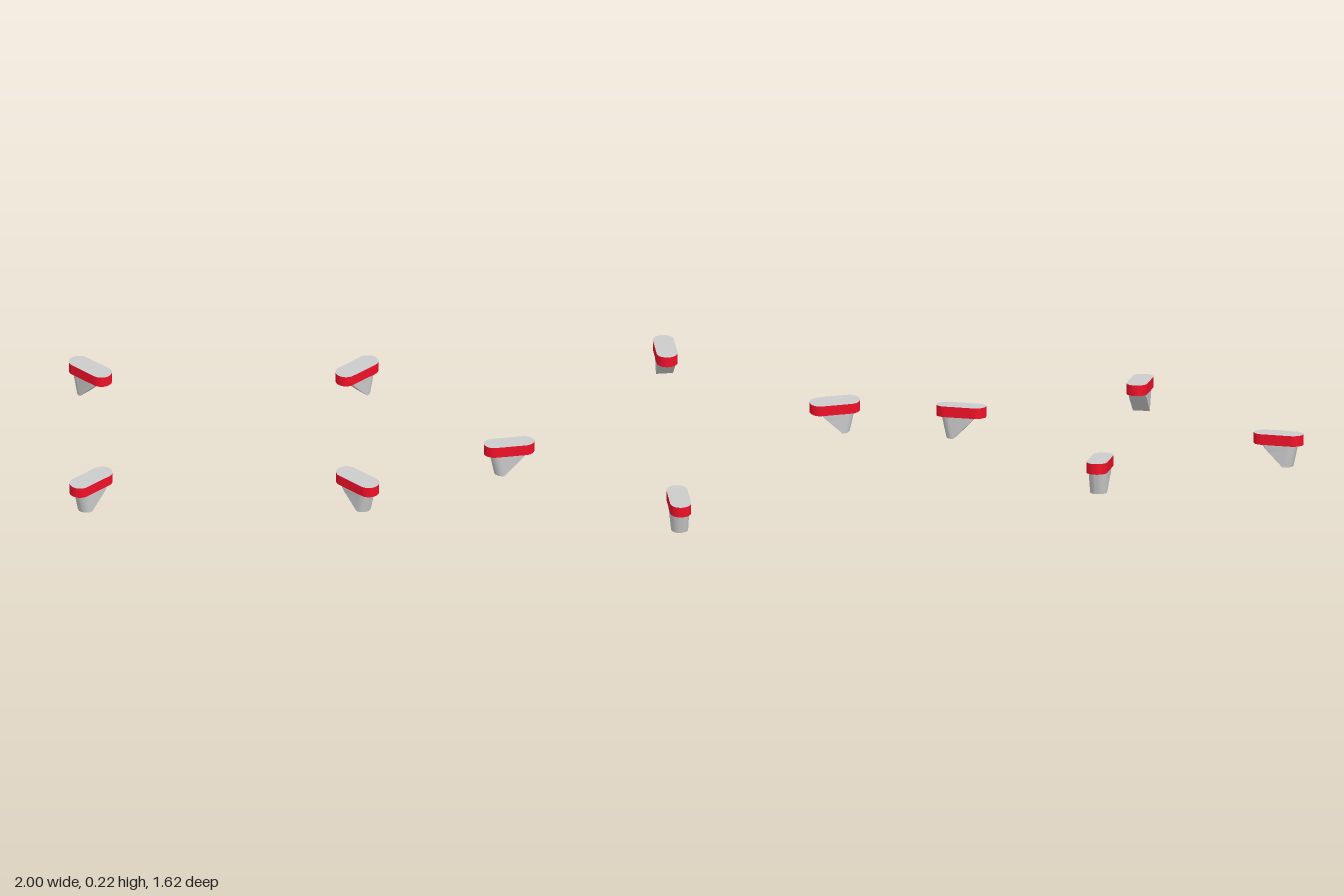
import * as THREE from 'three';
import { toCreasedNormals } from 'three/addons/utils/BufferGeometryUtils.js';

const PAD_Y = 0.145, PAD_H = 0.07, PAD_R = 0.068, PAD_HALF = 0.097;
const lerp = THREE.MathUtils.lerp;

// Stadium pad: red rim and underside, grey top
function padGeometry() {
  const s = new THREE.Shape();
  s.absarc(PAD_HALF, 0, PAD_R, -Math.PI / 2, Math.PI / 2);
  s.absarc(-PAD_HALF, 0, PAD_R, Math.PI / 2, Math.PI * 1.5);
  s.closePath();
  const g = new THREE.ExtrudeGeometry(s, { depth: PAD_H, bevelEnabled: false, curveSegments: 24 });
  const [lids, rim] = g.groups;
  g.clearGroups();
  g.addGroup(0, lids.count / 2, 1);
  g.addGroup(lids.count / 2, lids.count / 2, 0);
  g.addGroup(rim.start, rim.count, 1);
  g.rotateX(-Math.PI / 2);
  g.translate(0, PAD_Y, 0);
  return toCreasedNormals(g, 0.6);
}

// Tapered stadium cut off by a sloping plane on its inner side
function footGeometry() {
  const arc = 20, levels = 8, n = 2 * (arc + 1);
  const pos = [], idx = [];
  for (let l = 0; l <= levels; l++) {
    const t = l / levels;
    const r = lerp(0.055, 0.06, t);
    const outer = lerp(0.042, 0.069, t);
    const cut = lerp(0.04, -0.102, t);
    for (let i = 0; i < n; i++) {
      const inner = i > arc;
      const a = -Math.PI / 2 + Math.PI * (inner ? i - 1 : i) / arc;
      const u = (inner ? -0.069 : outer) + r * Math.cos(a);
      pos.push(Math.max(u, cut), t * PAD_Y, -r * Math.sin(a));
    }
  }
  for (let l = 0; l < levels; l++) {
    for (let i = 0; i < n; i++) {
      const j = (i + 1) % n, a = l * n + i, b = l * n + j;
      idx.push(a, b, b + n, a, b + n, a + n);
    }
  }
  // Sole
  for (let i = 1; i < n - 1; i++) idx.push(0, i + 1, i);
  const g = new THREE.BufferGeometry();
  g.setAttribute('position', new THREE.Float32BufferAttribute(pos, 3));
  g.setIndex(idx);
  return toCreasedNormals(g, 0.6);
}

export function createModel() {
  const model = new THREE.Group();
  model.name = 'feet';
  const grey = new THREE.MeshStandardMaterial({ color: 0xcccccc });
  const red = new THREE.MeshStandardMaterial({ color: 0xf01028 });
  const padGeo = padGeometry(), footGeo = footGeometry();

  // One foot per corner, each pointing outwards
  for (const [sz, zName] of [[1, 'front'], [-1, 'back']]) {
    for (const [sx, xName] of [[1, 'Left'], [-1, 'Right']]) {
      const foot = new THREE.Group();
      foot.name = zName + xName + 'Foot';
      const pad = new THREE.Mesh(padGeo, [grey, red]);
      pad.name = 'pad';
      const peg = new THREE.Mesh(footGeo, grey);
      peg.name = 'taperedPeg';
      foot.add(pad, peg);
      foot.position.set(sx * 0.861, 0, sz * 0.676);
      foot.rotation.y = Math.atan2(-sz * 0.681, sx * 0.732);
      model.add(foot);
    }
  }
  return model;
}
